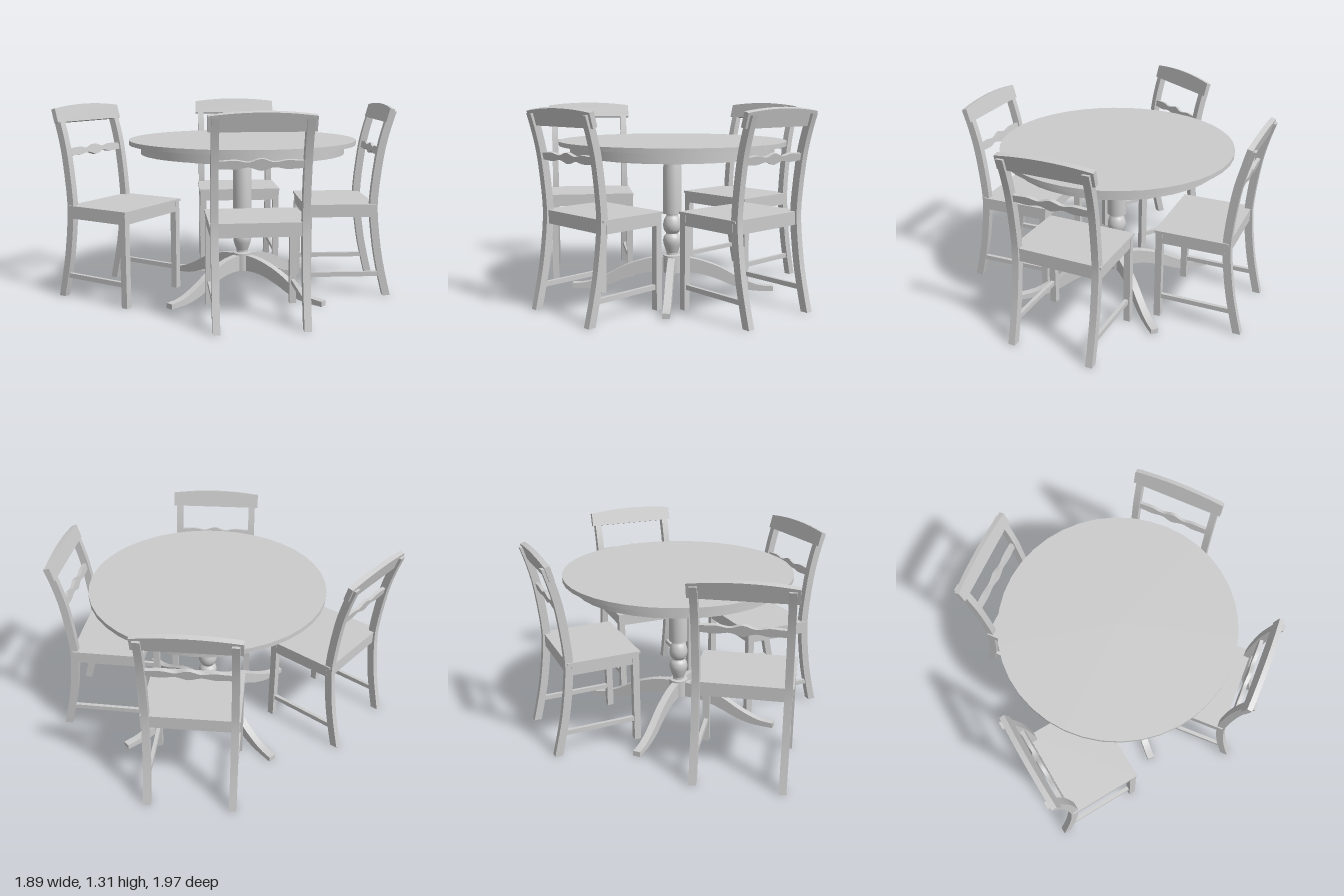
import * as THREE from 'three';
import { toCreasedNormals } from 'three/addons/utils/BufferGeometryUtils.js';

const material = new THREE.MeshStandardMaterial({ color: 0xcccccc });

function add(parent, name, geometry, x = 0, y = 0, z = 0) {
  const mesh = new THREE.Mesh(geometry, material);
  mesh.name = name;
  mesh.position.set(x, y, z);
  parent.add(mesh);
  return mesh;
}

const box = (w, h, d) => new THREE.BoxGeometry(w, h, d);
const points = (list) => list.map(([x, y]) => new THREE.Vector2(x, y));

// Extrude an outline, centred on its thickness
function slab(outline, thickness) {
  const g = new THREE.ExtrudeGeometry(new THREE.Shape(outline), { depth: thickness, bevelEnabled: false });
  g.translate(0, 0, -thickness / 2);
  return toCreasedNormals(g, 0.5);
}

// Same, but the outline is given in (z, y) and the thickness runs along x
const sideSlab = (outline, thickness) => slab(outline, thickness).rotateY(-Math.PI / 2);

function createTable() {
  const table = new THREE.Group();
  table.name = 'table';

  // Stepped round top: [name, radius, bottom, top]
  for (const [name, r, y0, y1] of [
    ['tableTop', 0.79, 1.04, 1.07],
    ['tableApron', 0.71, 0.975, 1.04],
    ['mountingDisc', 0.578, 0.955, 0.975],
  ]) add(table, name, new THREE.CylinderGeometry(r, r, y1 - y0, 40), 0, (y0 + y1) / 2, 0);

  // Turned column with two bulbs
  const bulbs = new THREE.SplineCurve(points([
    [0.04, 0.27], [0.048, 0.29], [0.064, 0.345], [0.058, 0.385], [0.042, 0.407],
    [0.058, 0.43], [0.065, 0.468], [0.055, 0.51], [0.04, 0.535], [0.042, 0.55],
  ])).getPoints(27);
  const profile = [
    ...points([[0, 0.125], [0.065, 0.125], [0.065, 0.25], [0.042, 0.255]]),
    ...bulbs,
    ...points([[0.066, 0.55], [0.066, 0.87], [0.061, 0.89], [0.061, 0.945], [0, 0.945]]),
  ];
  add(table, 'column', toCreasedNormals(new THREE.LatheGeometry(profile, 24), 0.6));

  // Four arched feet
  const top = new THREE.SplineCurve(points([
    [0.72, 0.035], [0.61, 0.045], [0.48, 0.095], [0.34, 0.17], [0.2, 0.218], [0.1, 0.235], [0.02, 0.238],
  ])).getPoints(18);
  const under = new THREE.SplineCurve(points([
    [0.02, 0.125], [0.18, 0.123], [0.33, 0.08], [0.45, 0.03], [0.57, 0.003], [0.72, 0],
  ])).getPoints(15);
  for (let i = 0; i < 4; i++) {
    add(table, 'tableFoot', sideSlab([...under, ...top], 0.05)).rotation.y = i * Math.PI / 2;
  }
  return table;
}

// A chair facing +z, with the top of its back at z = 0
function createChair() {
  const chair = new THREE.Group();
  chair.name = 'chair';

  // Bowed rear posts running from floor to crest rail
  const bow = new THREE.SplineCurve(points([
    [-0.002, 0], [0.035, 0.15], [0.07, 0.32], [0.1, 0.56], [0.1, 0.72], [0.07, 0.98], [0.035, 1.14], [-0.005, 1.27],
  ])).getPoints(20);
  const shifted = (dz) => bow.map((p) => new THREE.Vector2(p.x + dz, p.y));
  const postOutline = [...shifted(0.026), ...shifted(-0.026).reverse()];

  for (const s of [-1, 1]) {
    add(chair, 'rearPost', sideSlab(postOutline, 0.046), s * 0.275);
    add(chair, 'frontLeg', box(0.045, 0.63, 0.045), s * 0.28, 0.315, 0.55);
    add(chair, 'sideApron', box(0.03, 0.075, 0.43), s * 0.285, 0.595, 0.33);
    add(chair, 'sideStretcher', box(0.025, 0.032, 0.5), s * 0.278, 0.153, 0.29);
  }
  add(chair, 'frontApron', box(0.54, 0.075, 0.03), 0, 0.595, 0.555);
  add(chair, 'rearApron', box(0.53, 0.075, 0.03), 0, 0.595, 0.105);
  add(chair, 'seat', box(0.614, 0.016, 0.49), 0, 0.637, 0.335);

  // Crest rail, gently arched along the top and leaning back
  const crest = points([[-0.318, -0.055], [0.318, -0.055]]);
  for (let i = 0; i <= 12; i++) {
    const t = 1 - i / 6;
    crest.push(new THREE.Vector2(0.318 * t, 0.062 - 0.022 * t * t));
  }
  add(chair, 'crestRail', slab(crest, 0.034), 0, 1.25, 0.012).rotation.x = -0.27;

  // Scalloped middle slat
  const wave = (x) => 0.024 + 0.012 * Math.cos(x * 36) * Math.exp(-((x / 0.15) ** 2));
  const upper = [], lower = [];
  for (let i = 0; i <= 36; i++) {
    const x = -0.26 + 0.52 * i / 36;
    lower.push(new THREE.Vector2(x, -wave(x)));
    upper.unshift(new THREE.Vector2(x, wave(x)));
  }
  add(chair, 'middleSlat', slab([...lower, ...upper], 0.024), 0, 1.0, 0.068).rotation.x = -0.18;
  return chair;
}

export function createModel() {
  const model = new THREE.Group();
  model.name = 'diningSet';

  const table = createTable();
  table.position.set(-0.013, 0, -0.053);
  model.add(table);

  // Chairs: [x, z, facing x, facing z]
  for (const [x, z, fx, fz] of [
    [-0.715, -0.74, 0.727, 0.686],
    [0.68, -0.75, -0.707, 0.707],
    [0.72, 0.595, -0.74, -0.67],
    [-0.835, 0.67, 0.98, -0.195],
  ]) {
    const chair = createChair();
    chair.position.set(x, 0, z);
    chair.rotation.y = Math.atan2(fx, fz);
    model.add(chair);
  }
  return model;
}
